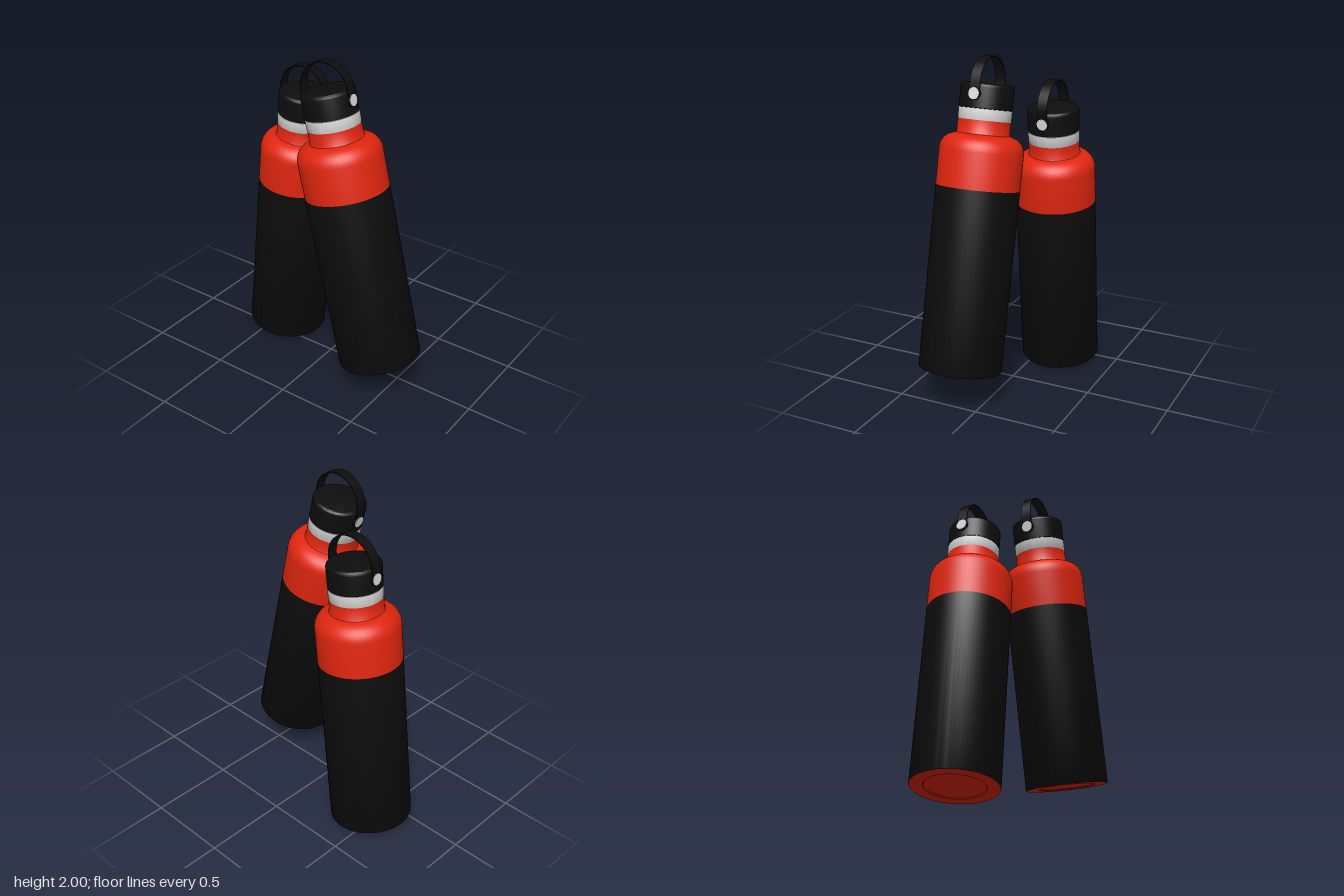
import * as THREE from 'three';
import { toCreasedNormals } from 'three/addons/utils/BufferGeometryUtils.js';

const material = (name, color) => {
  const m = new THREE.MeshStandardMaterial({ color });
  m.name = name;
  return m;
};

const R = 0.243; // body radius
const NECK = 0.152; // neck radius

// Surface of revolution with crisp edges, from [radius, height] pairs
function lathe(points) {
  const g = new THREE.LatheGeometry(points.map(([r, y]) => new THREE.Vector2(r, y)), 64);
  return toCreasedNormals(g, 0.6);
}

// Quarter-round profile points, from the side up to the top
function round(cx, cy, r, n = 8) {
  return Array.from({ length: n + 1 }, (_, i) => {
    const a = (i / n) * Math.PI / 2;
    return [cx + r * Math.cos(a), cy + r * Math.sin(a)];
  });
}

// Thin strap: two straight legs joined by a half circle
function strapGeometry() {
  const outer = 0.161, inner = 0.155, low = 1.585, mid = 1.648, width = 0.062;
  const s = new THREE.Shape();
  s.moveTo(-outer, low);
  s.lineTo(-outer, mid);
  s.absarc(0, mid, outer, Math.PI, 0, true);
  s.lineTo(outer, low);
  s.lineTo(inner, low);
  s.lineTo(inner, mid);
  s.absarc(0, mid, inner, 0, Math.PI, false);
  s.lineTo(-inner, low);
  s.closePath();
  const g = new THREE.ExtrudeGeometry(s, { depth: width, bevelEnabled: false, curveSegments: 40 });
  g.translate(0, 0, -width / 2);
  return toCreasedNormals(g, 0.6);
}

export function createModel() {
  const black = material('black', 0x0d0d0d);
  const red = material('red', 0xe0260f);
  const white = material('white', 0xdcdcdc);

  // Parts shared by both bottles: name, geometry, material
  const parts = [
    ['base', lathe([[0, 0.006], [0.165, 0.006], [0.17, 0], [R - 0.002, 0]]), red],
    ['sleeve', lathe([[R - 0.002, 0], [R, 0.003], [R, 1.06]]), black],
    ['shoulder', lathe([[R, 1.06], ...round(R - 0.095, 1.268, 0.095).slice(0, -1),
      [NECK + 0.004, 1.364], [NECK, 1.37], [NECK, 1.443]]), red],
    ['neckBand', lathe([[NECK, 1.443], [NECK + 0.001, 1.445], [NECK + 0.001, 1.508], [0.14, 1.508]]), white],
    ['cap', lathe([[0.14, 1.508], [0.153, 1.51], ...round(0.133, 1.629, 0.021), [0, 1.65]]), black],
    ['strap', strapGeometry(), black],
  ];

  function bottle(name) {
    const g = new THREE.Group();
    g.name = name;
    for (const [partName, geometry, mat] of parts) {
      const mesh = new THREE.Mesh(geometry, mat);
      mesh.name = partName;
      g.add(mesh);
    }
    // Pivot tabs and buttons on both sides of the cap
    for (const side of [-1, 1]) {
      const disc = (discName, radius, from, to, mat) => {
        const geo = new THREE.CylinderGeometry(radius, radius, to - from, 32);
        geo.rotateZ(Math.PI / 2);
        const mesh = new THREE.Mesh(geo, mat);
        mesh.position.set(side * (from + to) / 2, 1.587, 0);
        mesh.name = discName;
        g.add(mesh);
      };
      disc('strapTab', 0.037, 0.145, 0.163, black);
      disc('pivotButton', 0.033, 0.163, 0.166, white);
    }
    return g;
  }

  const model = new THREE.Group();
  model.name = 'bottlePair';

  const rightBottle = bottle('rightBottle');
  rightBottle.position.set(-0.445, 0.026, -0.128);
  rightBottle.rotation.z = -0.102;

  const leftBottle = bottle('leftBottle');
  leftBottle.position.set(0.447, 0.236, 0.125);
  leftBottle.rotation.z = 0.235;

  model.add(rightBottle, leftBottle);
  return model;
}
